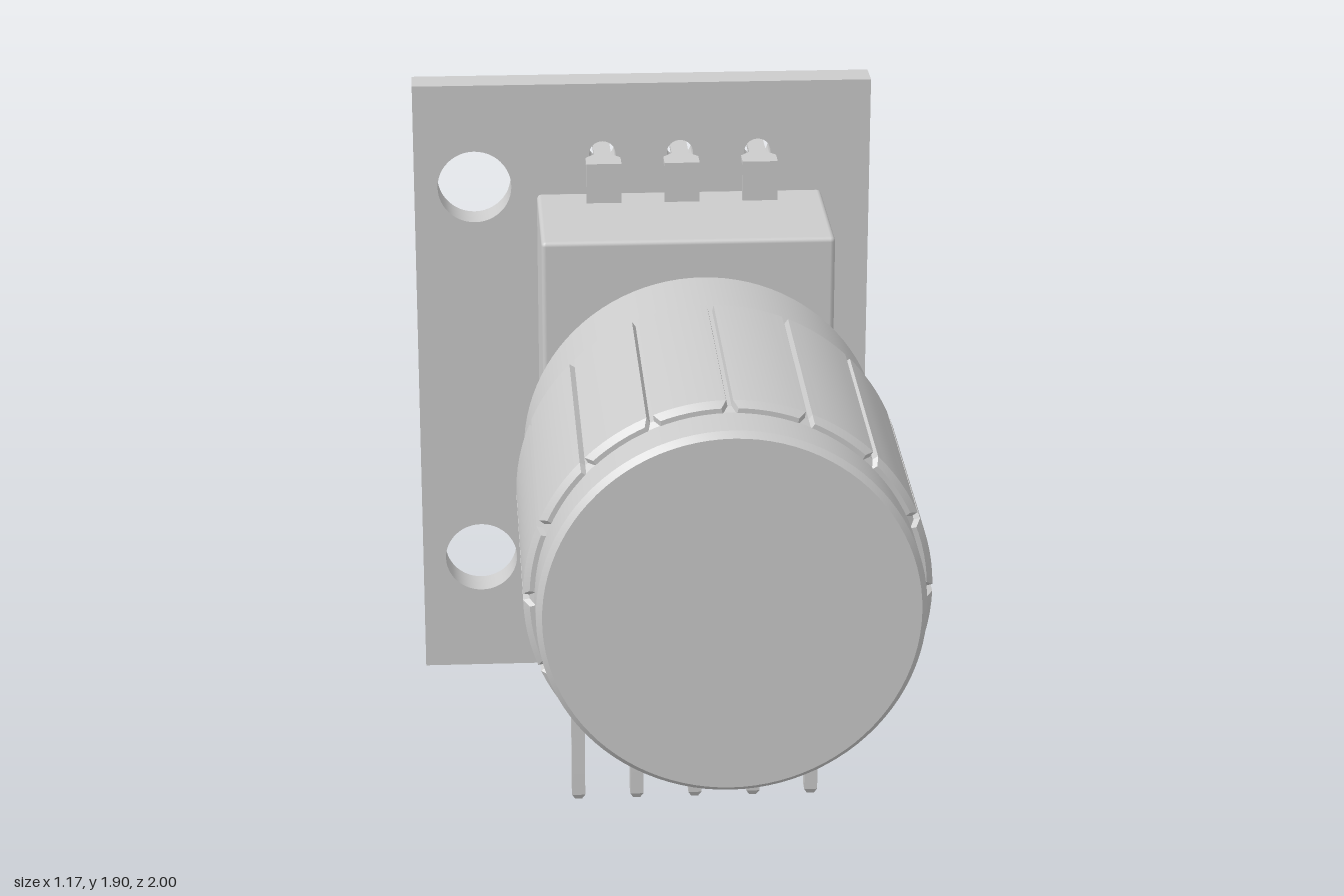
import * as THREE from 'three';
import { toCreasedNormals } from 'three/addons/utils/BufferGeometryUtils.js';
import { RoundedBoxGeometry } from 'three/addons/geometries/RoundedBoxGeometry.js';

const grey = new THREE.MeshStandardMaterial({ color: 0xcccccc });
const AX = 0.095, AY = 1.245;              // knob axis
const TAB_X = [-0.105, 0.095, 0.295];
const PIN_X = [0, 1, 2, 3, 4].map(i => -0.19 + i * 0.1555);
const PIN_Y = 0.453;

function add(parent, name, geo, x = 0, y = 0, z = 0) {
  const m = new THREE.Mesh(geo, grey);
  m.name = name;
  m.position.set(x, y, z);
  parent.add(m);
  return m;
}

const polygon = pts => new THREE.Shape(pts.map(p => new THREE.Vector2(p[0], p[1])));

function extrude(shape, depth, opts = {}) {
  return toCreasedNormals(new THREE.ExtrudeGeometry(shape,
    { depth, bevelEnabled: false, curveSegments: 24, ...opts }), 0.5);
}

// Turned part along +z from [radius, z] pairs
function turned(pts, seg = 96) {
  const g = new THREE.LatheGeometry(pts.map(p => new THREE.Vector2(p[0], p[1])), seg);
  return toCreasedNormals(g.rotateX(Math.PI / 2), 0.5);
}

// Helical V-thread along z: a grid wrapped round the axis, rows alternating root and crest
function threadGeometry(z0, z1, root, crest, pitch) {
  const turns = Math.ceil((z1 - z0) / pitch) + 1, rows = turns * 2, seg = 64;
  const g = new THREE.PlaneGeometry(1, 1, seg, rows), p = g.attributes.position;
  for (let i = 0; i < p.count; i++) {
    const u = p.getX(i) + 0.5, j = Math.round((p.getY(i) + 0.5) * rows);
    const z = z0 + pitch * (j / 2 - 1 + u);
    const r = j % 2 ? crest : root, a = u * Math.PI * 2;
    p.setXYZ(i, r * Math.cos(a), r * Math.sin(a), THREE.MathUtils.clamp(z, z0, z1));
  }
  return toCreasedNormals(g, 0.5);
}

// Circle with 16 narrow notches
function flutedShape(r, depth, halfAngle) {
  const pts = [], n = 16, step = Math.PI * 2 / n;
  const put = (rad, a) => pts.push([rad * Math.cos(a), rad * Math.sin(a)]);
  for (let i = 0; i < n; i++) {
    const a = i * step;
    put(r - depth, a - halfAngle * 0.6);
    put(r - depth, a + halfAngle * 0.6);
    for (let k = 0; k <= 6; k++) put(r, a + halfAngle + (step - 2 * halfAngle) * k / 6);
  }
  return polygon(pts);
}

function createBoard(parent) {
  const s = polygon([[-0.59, 0.28], [0.585, 0.28], [0.585, 1.9], [-0.59, 1.9]]);
  const hole = (x, y, r) => s.holes.push(new THREE.Path().absarc(x, y, r, 0, Math.PI * 2, true));
  hole(-0.435, 1.63, 0.095);
  hole(-0.435, 0.595, 0.095);
  TAB_X.forEach(x => hole(x, 1.713, 0.034));
  [TAB_X[0], TAB_X[2]].forEach(x => hole(x, 0.815, 0.034));
  PIN_X.forEach(x => hole(x, PIN_Y, 0.03));
  add(parent, 'circuitBoard', extrude(s, 0.09), 0, 0, -0.98);
}

// Bent solder tab; dir is +1 above the body, -1 below
function createTab(parent, x, y, dir) {
  const tab = new THREE.Group();
  tab.name = 'solderTab';
  add(tab, 'tabUpright', new THREE.BoxGeometry(0.09, 0.12, 0.012), 0, -0.06 * dir, -0.806);
  const top = polygon([[-0.045, 0.8], [0.045, 0.8], [0.045, 0.855], [0.022, 0.885],
    [0.022, 1], [-0.022, 1], [-0.022, 0.885], [-0.045, 0.855]]);
  add(tab, 'tabFoot', extrude(top, 0.012).rotateX(-Math.PI / 2), 0, -0.006, 0);
  tab.position.set(x, y, 0);
  parent.add(tab);
}

function createHeader(parent) {
  const header = new THREE.Group();
  header.name = 'pinHeader';
  const w = 0.0777, h = 0.075, c = 0.013;
  const block = extrude(polygon([[-w + c, -h], [w - c, -h], [w, -h + c], [w, h - c],
    [w - c, h], [-w + c, h], [-w, h - c], [-w, -h + c]]), 0.16);

  // Square pin outline in z, y: straight leg, rounded elbow, horizontal tail
  const t = 0.0175, zc = -0.632, r = 0.06, s = new THREE.Shape();
  s.moveTo(zc + t, 0.015);
  s.lineTo(zc + t, PIN_Y - r);
  s.absarc(zc - r, PIN_Y - r, r + t, 0, Math.PI / 2, false);
  s.lineTo(-0.985, PIN_Y + t);
  s.lineTo(-1, PIN_Y + t * 0.5);
  s.lineTo(-1, PIN_Y - t * 0.5);
  s.lineTo(-0.985, PIN_Y - t);
  s.lineTo(zc - r, PIN_Y - t);
  s.absarc(zc - r, PIN_Y - r, r - t, Math.PI / 2, 0, true);
  s.lineTo(zc - t, 0.015);
  const pin = extrude(s, 2 * t, { curveSegments: 8 }).rotateY(-Math.PI / 2).translate(t, 0, 0);
  const tip = new THREE.CylinderGeometry(t * Math.SQRT2, t * 0.75, 0.015, 4)
    .rotateY(Math.PI / 4).toNonIndexed();
  tip.computeVertexNormals();

  for (const x of PIN_X) {
    add(header, 'headerBlock', block, x, PIN_Y, -0.89);
    add(header, 'pin', pin, x);
    add(header, 'pinTip', tip, x, 0.0075, zc);
  }
  parent.add(header);
}

function createKnob(parent) {
  const knob = new THREE.Group();
  knob.name = 'knob';
  // Cap, hollow at the back with a central boss
  add(knob, 'knobBody', turned([[0, -0.015], [0.185, -0.015], [0.185, 0.23], [0.4, 0.23],
    [0.4, -0.02], [0.43, -0.02], [0.43, 0.985], [0.417, 1], [0, 1]]));
  // Fluted grip band
  const bevel = 0.014;
  add(knob, 'gripBand', extrude(flutedShape(0.455, 0.014, 0.017), 0.645 - 2 * bevel, {
    bevelEnabled: true, bevelThickness: bevel, bevelSize: bevel, bevelOffset: -bevel, bevelSegments: 1,
  }), 0, 0, 0.235 + bevel);
  knob.position.set(AX, AY, 0);
  parent.add(knob);
}

export function createModel() {
  const model = new THREE.Group();
  model.name = 'rotaryEncoderModule';
  createBoard(model);

  // Encoder body, threaded bushing and shaft
  add(model, 'encoderBody', new RoundedBoxGeometry(0.735, 0.73, 0.4, 2, 0.012), 0.0925, AY, -0.69);
  add(model, 'threadedBushing', threadGeometry(-0.495, -0.08, 0.172, 0.215, 0.05), AX, AY, 0);
  add(model, 'bushingCore', turned([[0, -0.5], [0.172, -0.5], [0.172, -0.08], [0, -0.08]], 48), AX, AY, 0);
  add(model, 'shaft', turned([[0, -0.1], [0.12, -0.1], [0.12, 0], [0, 0]], 48), AX, AY, 0);

  TAB_X.forEach(x => createTab(model, x, 1.708, 1));
  [TAB_X[0], TAB_X[2]].forEach(x => createTab(model, x, 0.82, -1));

  createHeader(model);
  createKnob(model);
  return model;
}
